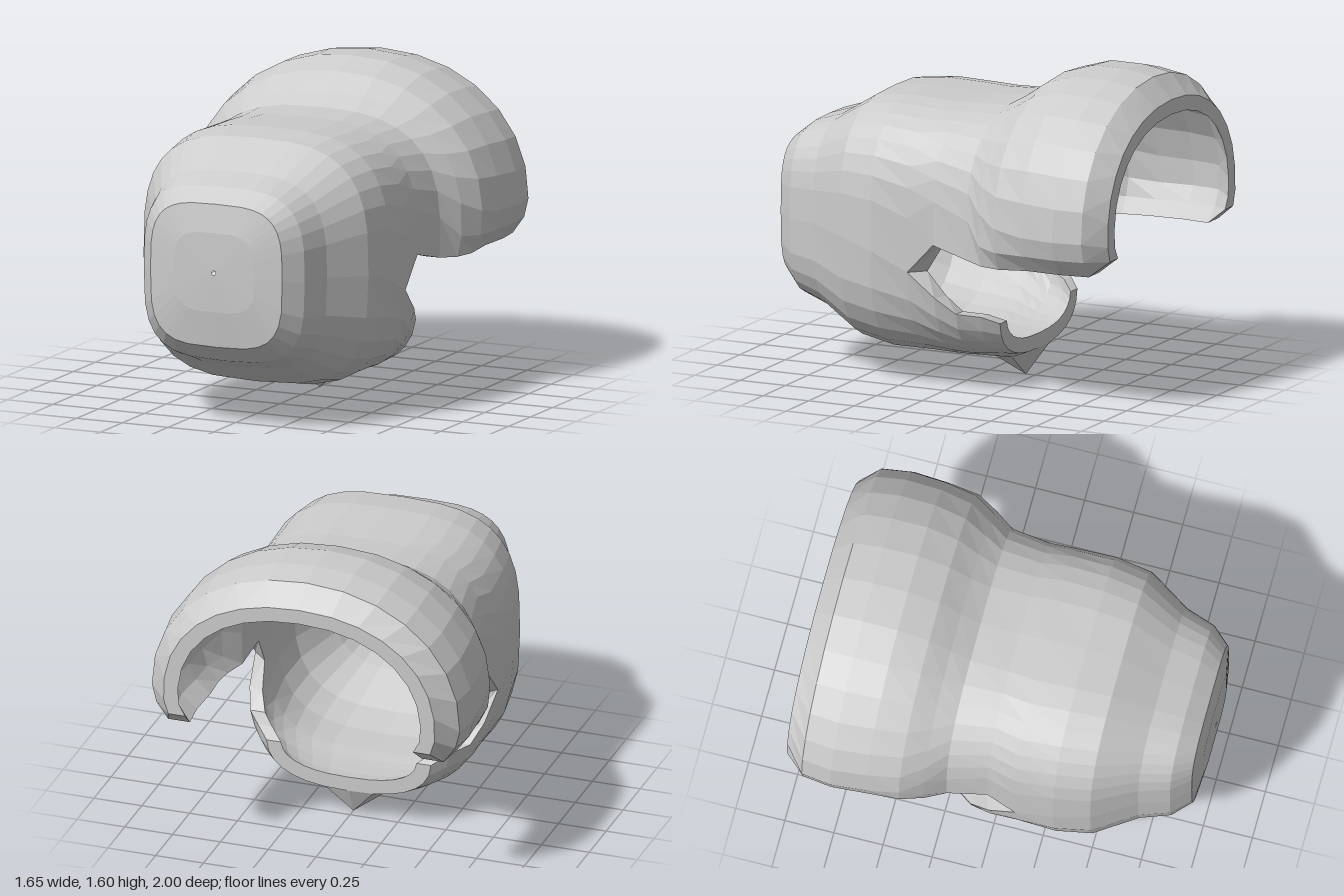
import * as THREE from 'three';

// Cross-sections from front to back:
// z, half width, top, widest height, bottom, squareness, height of the side edge, spike depth
const FRONT = [
  [1.0, 0.01, 0.81, 0.8, 0.79, 3, 0.8],
  [0.995, 0.22, 1.0, 0.79, 0.6, 3.6, 0.79],
  [0.97, 0.36, 1.14, 0.78, 0.42, 3.6, 0.78],
  [0.88, 0.44, 1.21, 0.77, 0.335, 3.4, 0.77],
  [0.73, 0.49, 1.26, 0.77, 0.28, 3.2, 0.77],
  [0.52, 0.615, 1.39, 0.77, 0.165, 3.1, 0.75],
  [0.34, 0.643, 1.41, 0.77, 0.13, 3.1, 0.7],
  [0.14, 0.637, 1.405, 0.77, 0.13, 3.1, 0.61],
];
const ARCH = [
  [0.0, 0.632, 1.4, 0.78, 0.13, 3.1, 0.76],
  [-0.2, 0.66, 1.41, 0.82, 0.3, 2.8, 0.71],
  [-0.3, 0.73, 1.47, 0.86, 0.4, 2.4, 0.7],
  [-0.41, 0.79, 1.55, 0.89, 0.45, 2.2, 0.7],
  [-0.57, 0.81, 1.6, 0.9, 0.5, 2.15, 0.71],
  [-0.75, 0.825, 1.6, 0.9, 0.5, 2.1, 0.71],
  [-0.9, 0.805, 1.575, 0.9, 0.5, 2.1, 0.71],
  [-1.0, 0.71, 1.47, 0.9, 0.55, 2.2, 0.79],
];
const LIP = [
  [0.0, 0.62, 1.3, 0.64, 0.125, 2.9, 0.49],
  [-0.1, 0.58, 1.2, 0.5, 0.125, 2.7, 0.41],
  [-0.2, 0.5, 1.0, 0.42, 0.13, 2.6, 0.39, 0.13],
  [-0.27, 0.43, 0.8, 0.37, 0.14, 2.5, 0.35],
];

const WALL = 0.075;

// One closed ring: outer wall across, then inner wall back
function ring(station, lower, segments) {
  const [z, w, top, mid, bottom, n, edge, spike = 0] = station;
  const wall = (inset) => {
    const cut = (size) => size - Math.min(inset, size * 0.5);
    const half = cut(w), up = cut(top - mid), down = cut(mid - bottom);
    const k = Math.min(1, (mid - edge) / down);
    const limit = Math.PI / 2 + Math.asin(Math.pow(Math.max(0, k), n / 2));
    const from = lower ? limit : -limit;
    const to = lower ? 2 * Math.PI - limit : limit;
    // The inner wall sits further back towards the closed front
    const depth = inset * THREE.MathUtils.smoothstep(z, -0.1, 0.14);
    return Array.from({ length: segments + 1 }, (_, j) => {
      const a = from + ((to - from) * j) / segments;
      const s = Math.sin(a), c = Math.cos(a);
      const x = half * Math.sign(s) * Math.pow(Math.abs(s), 2 / n);
      let y = mid + (c > 0 ? up : -down) * Math.pow(Math.abs(c), 2 / n);
      if (!inset) y -= spike * Math.max(0, 1 - Math.abs(x) / 0.18);
      return [x, y, z - depth];
    });
  };
  return [...wall(0), ...wall(WALL).reverse()];
}

// Thick shell lofted through the rings, with a rim at the back end
function shell(name, stations, lower, segments, material) {
  const rings = stations.map((s) => ring(s, lower, segments));
  const count = rings[0].length;
  const positions = [];
  const quad = (a, b, c, d) => positions.push(...a, ...b, ...c, ...a, ...c, ...d);
  for (let i = 0; i < rings.length - 1; i++) {
    for (let j = 0; j < count; j++) {
      const k = (j + 1) % count;
      quad(rings[i][j], rings[i][k], rings[i + 1][k], rings[i + 1][j]);
    }
  }
  const end = rings[rings.length - 1];
  for (let j = 0; j < segments; j++) {
    quad(end[j], end[j + 1], end[count - 2 - j], end[count - 1 - j]);
  }
  const geometry = new THREE.BufferGeometry();
  geometry.setAttribute('position', new THREE.Float32BufferAttribute(positions, 3));
  geometry.computeVertexNormals();
  const mesh = new THREE.Mesh(geometry, material);
  mesh.name = name;
  return mesh;
}

export function createModel() {
  const group = new THREE.Group();
  group.name = 'hollowShell';
  const material = new THREE.MeshStandardMaterial({ color: 0xcccccc, flatShading: true });
  // Upper half runs back into the flared arch, lower half ends in the pointed lip
  group.add(shell('upperShellAndArch', [...FRONT, ...ARCH], false, 18, material));
  group.add(shell('lowerShellAndLip', [...FRONT, ...LIP], true, 14, material));
  return group;
}
